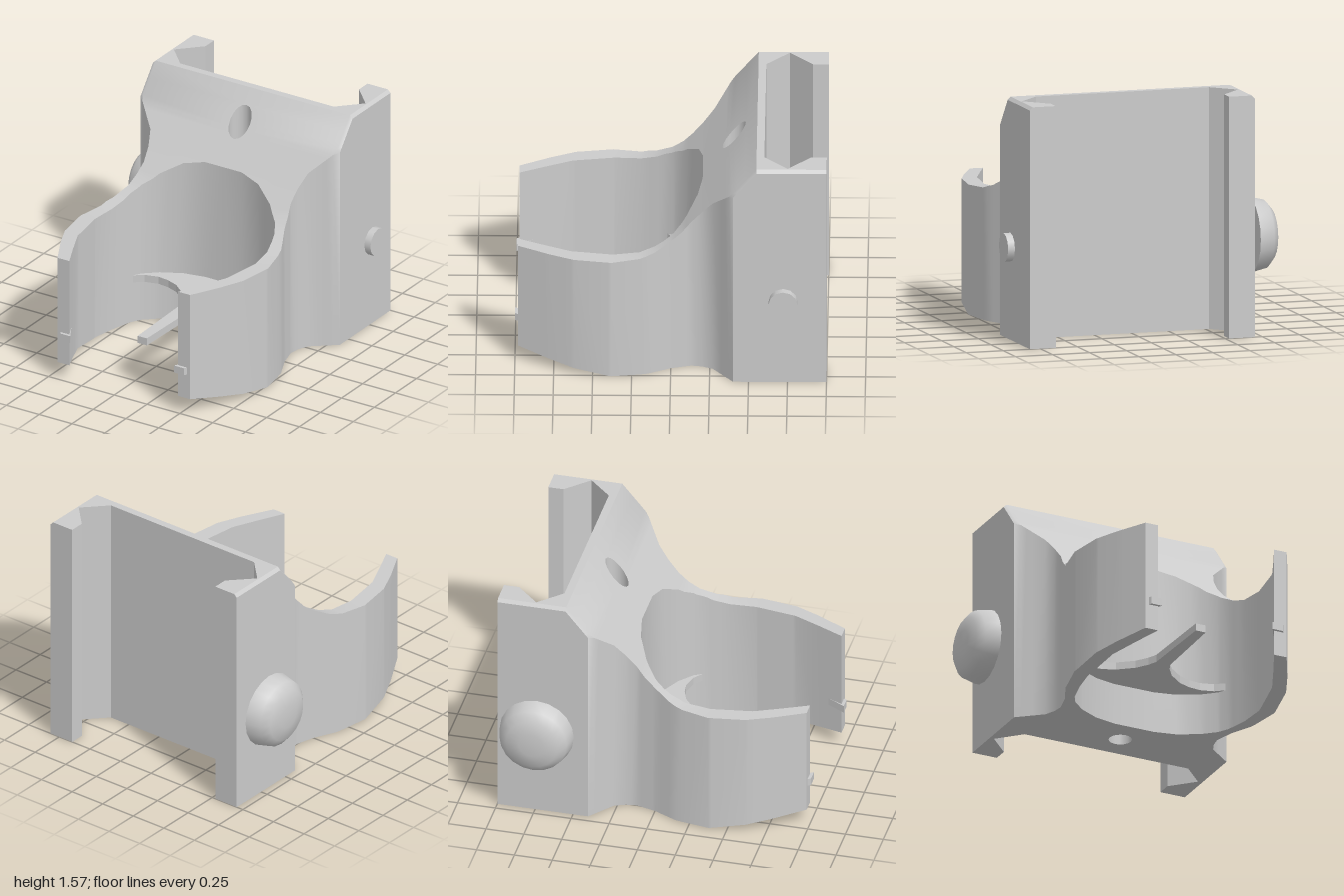
import * as THREE from 'three';
import { toCreasedNormals } from 'three/addons/utils/BufferGeometryUtils.js';

const CX = 0.06; // symmetry plane of the clip body
const material = new THREE.MeshStandardMaterial({ color: 0xcccccc });

// Piecewise-linear lookup in a list of [z, value] pairs
function sample(list, z) {
  for (let i = 1; i < list.length; i++) {
    const [z0, v0] = list[i - 1], [z1, v1] = list[i];
    if (z <= z1) return v0 + (v1 - v0) * Math.max(0, (z - z0) / (z1 - z0));
  }
  return list[list.length - 1][1];
}

// Plan outlines (half widths along z) and side silhouette
const HOLE_Z = -0.4, HOLE_R = 0.075;
const hole = [];
for (let i = 0; i <= 8; i++) {
  const a = (i / 8) * Math.PI;
  hole.push([HOLE_Z - HOLE_R * Math.cos(a), i % 8 ? HOLE_R * Math.sin(a) : 0]);
}
const inner = [
  [-1, 0.585], [-0.9, 0.585], [-0.75, 0.73], [-0.6, 0.585], [-0.6, 0], // dovetail channel
  ...hole,
  [-0.2, 0], [-0.2, 0.14], [-0.17, 0.285], [-0.1, 0.42], [-0.02, 0.51], // jaw
  [0.05, 0.55], [0.2, 0.59], [0.37, 0.61], [0.64, 0.57], [0.82, 0.49], [0.98, 0.415],
];
const outer = [
  [-1, 0.76], [-0.4, 0.76], [-0.27, 0.6], [-0.2, 0.57], [-0.13, 0.56], [0, 0.595],
  [0.15, 0.665], [0.38, 0.715], [0.62, 0.68], [0.78, 0.61], [0.98, 0.505],
];
const top = [
  [-1, 1.57], [-0.55, 1.57], [-0.2, 1.148], [-0.07, 1.0], [0, 0.945],
  [0.1, 0.89], [0.2, 0.86], [0.37, 0.853], [0.98, 0.853],
];
const bottom = [[-1, 0], [0.2, 0], [0.4, 0.01], [0.98, 0.11]];

// Body: half cross-sections swept along z, mirrored about the middle
function bodyGeometry() {
  const extra = [...outer, ...top, ...bottom].map((p) => p[0]);
  const stations = [inner[0]];
  for (let i = 1; i < inner.length; i++) {
    const a = inner[i - 1], b = inner[i];
    const between = [...new Set(extra)].filter((z) => z > a[0] + 1e-4 && z < b[0] - 1e-4);
    between.sort((p, q) => p - q);
    for (const z of between) stations.push([z, sample([a, b], z)]);
    stations.push(b);
  }
  const sections = stations.map(([z, w]) => {
    const o = sample(outer, z), t = sample(top, z), b = sample(bottom, z);
    const c = z <= -0.4 ? 0.02 : 0; // edge bevel on the rear block
    return [[w, b, z], [o, b, z], [o, t - c, z], [o - c, t, z], [w, t, z]];
  });

  const pos = [];
  const tri = (p, q, r) => {
    pos.push(...p, ...q, ...r);
    for (const v of [p, r, q]) pos.push(-v[0], v[1], v[2]);
  };
  for (let k = 1; k < sections.length; k++) {
    const s = sections[k - 1], e = sections[k];
    const step = s[0][2] === e[0][2];
    for (let i = 0; i < 5; i++) {
      const j = (i + 1) % 5;
      if (i < 4 && step) continue;
      if (i === 4 && s[0][0] === 0 && e[0][0] === 0) continue;
      tri(s[i], s[j], e[j]);
      tri(s[i], e[j], e[i]);
    }
  }
  const back = sections[0], front = sections[sections.length - 1];
  for (let i = 1; i < 4; i++) {
    tri(front[0], front[i], front[i + 1]);
    tri(back[0], back[i + 1], back[i]);
  }
  const geo = new THREE.BufferGeometry();
  geo.setAttribute('position', new THREE.Float32BufferAttribute(pos, 3));
  return toCreasedNormals(geo, 0.6);
}

// Thin web inside the jaw, with a centre finger and bands along the arms
function webGeometry() {
  const half = [
    [0.035, 0.76], [0.05, 0.22], [0.075, 0.16], [0.13, 0.08], [0.23, 0], [0.31, -0.03],
    [0.39, -0.04], [0.48, -0.015], [0.55, 0.04], [0.595, 0.2], [0.613, 0.37], [0.573, 0.64],
    [0.49, 0.83], [0.395, 1], [0.47, 1], [0.585, 0.8], [0.655, 0.62], [0.68, 0.38],
    [0.635, 0.15], [0.54, -0.1], [0.35, -0.27],
  ];
  const mirrored = half.map(([x, z]) => [-x, z]).reverse();
  const shape = new THREE.Shape([...half, ...mirrored].map(([x, z]) => new THREE.Vector2(x, z)));
  const geo = new THREE.ExtrudeGeometry(shape, { depth: 0.05, bevelEnabled: false });
  geo.rotateX(Math.PI / 2); // plan z stays z, thickness runs down
  geo.translate(0, 0.33, 0);
  return geo;
}

export function createModel() {
  const group = new THREE.Group();
  const add = (name, geo, x = 0, y = 0, z = 0) => {
    const mesh = new THREE.Mesh(geo, material);
    mesh.name = name;
    mesh.position.set(x, y, z);
    group.add(mesh);
    return mesh;
  };

  add('clipBody', bodyGeometry(), CX);
  add('jawWeb', webGeometry(), CX);

  // Domed bolt head on the right side
  const profile = [[0, 0], [0.245, 0], [0.222, 0.1], [0.17, 0.143], [0.08, 0.158], [0, 0.16]];
  const dome = new THREE.LatheGeometry(profile.map(([r, h]) => new THREE.Vector2(r, h)), 20);
  add('boltHead', toCreasedNormals(dome, 0.8), -0.75, 0.622, -0.727).rotation.z = Math.PI / 2;

  // Small round bolt end on the left side
  const disc = new THREE.CylinderGeometry(0.093, 0.093, 0.046, 12);
  add('boltEnd', disc, 0.882, 0.623, -0.722).rotation.z = Math.PI / 2;

  return group;
}
